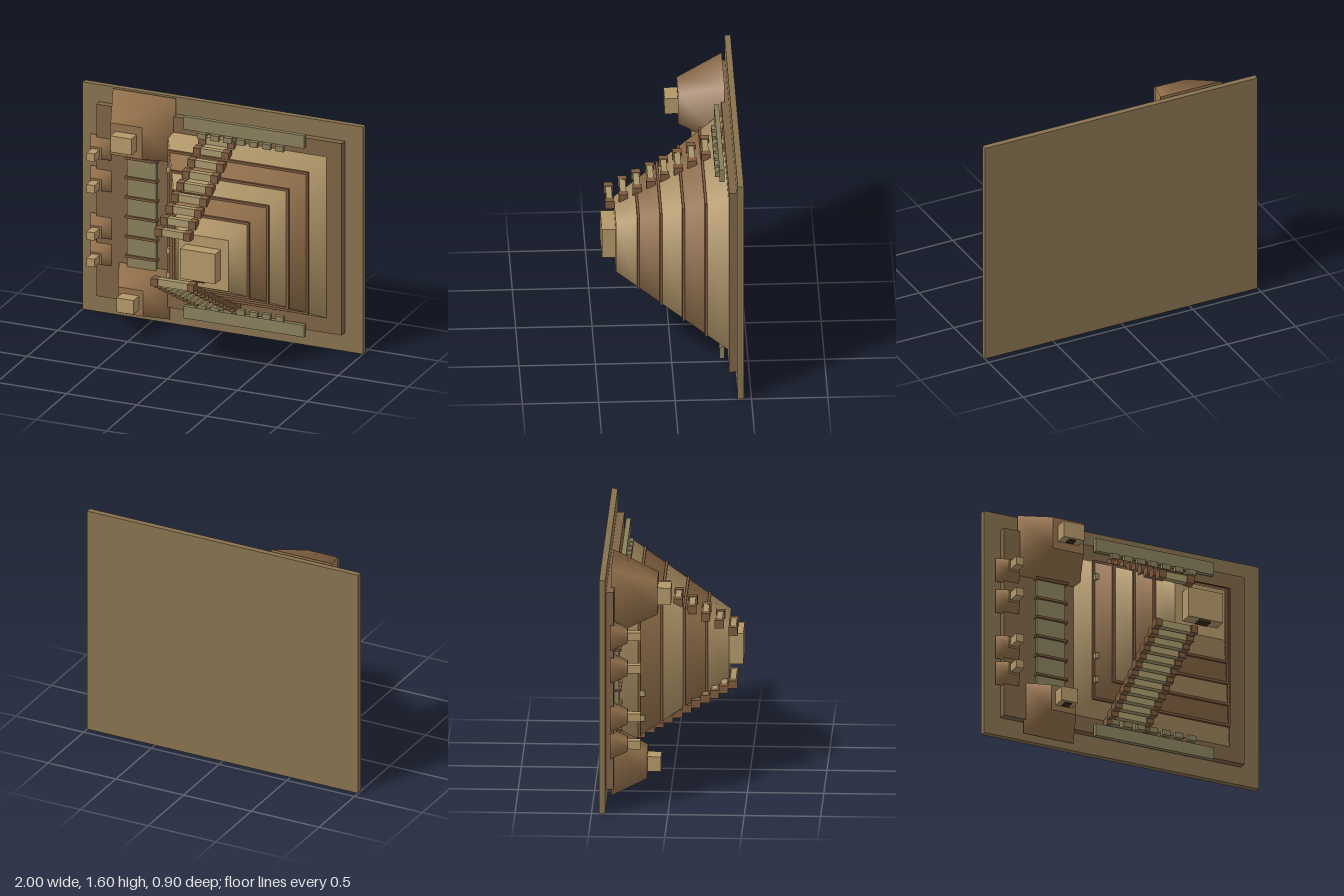
import * as THREE from 'three';

const mat = (color) => new THREE.MeshStandardMaterial({ color, roughness: 0.9 });

export function createModel() {
  const root = new THREE.Group();
  const M = {
    ground: mat(0x87724f), terrace: mat(0x7d6446), tan: mat(0xb3986a), brown: mat(0x94714c),
    trim: mat(0x7d5a3e), step: mat(0xa8976c), wall: mat(0x8a7f5c), dark: mat(0x3d2c1d),
  };

  const group = (name, parent = root) => {
    const g = new THREE.Group();
    g.name = name;
    parent.add(g);
    return g;
  };

  // box from its extents along each axis
  const box = (name, x0, x1, y0, y1, z0, z1, material, parent = root) => {
    const mesh = new THREE.Mesh(new THREE.BoxGeometry(x1 - x0, y1 - y0, z1 - z0), material);
    mesh.name = name;
    mesh.position.set((x0 + x1) / 2, (y0 + y1) / 2, (z0 + z1) / 2);
    parent.add(mesh);
    return mesh;
  };

  // square frustum rising along +z, h0 and h1 are half widths
  const frustum = (name, x, y, z0, z1, h0, h1, material, parent) => {
    const geo = new THREE.CylinderGeometry(h1 * Math.SQRT2, h0 * Math.SQRT2, z1 - z0, 4);
    geo.rotateY(Math.PI / 4);
    geo.rotateX(Math.PI / 2);
    const mesh = new THREE.Mesh(geo, material);
    mesh.name = name;
    mesh.position.set(x, y, (z0 + z1) / 2);
    parent.add(mesh);
  };

  // ground slab and raised terrace
  box('groundSlab', -1, 1, 0, 1.6, -0.45, -0.41, M.ground);
  box('terrace', -0.88, 0.87, 0.13, 1.48, -0.41, -0.36, M.terrace);

  // great pyramid: five alternating tiers with thin trims between them
  const great = group('greatPyramid');
  const px = 0.195, py = 0.803;
  const half = (t) => THREE.MathUtils.lerp(0.567, 0.18, t);
  for (let i = 0; i < 5; i++) {
    const z = -0.36 + i * 0.144;
    frustum('tier', px, py, z, z + 0.144, half(i / 5), half((i + 1) / 5), i % 2 ? M.brown : M.tan, great);
    if (i > 0) {
      const h = half(i / 5) + 0.011;
      box('tierTrim', px - h, px + h, py - h, py + h, z - 0.008, z + 0.008, M.trim, great);
    }
  }
  box('summitTemple', 0.07, 0.32, 0.7, 0.91, 0.36, 0.45, M.tan, great);
  box('templeDoor', 0.155, 0.235, 0.685, 0.702, 0.38, 0.435, M.dark, great);

  // stairways: treads flanked by stepped side blocks
  const stair = (name, count, y0, y1, treadHalf, outerHalf, blockH) => {
    const g = group(name);
    for (let i = 0; i < count; i++) {
      const t = i / (count - 1);
      const z = THREE.MathUtils.lerp(0.39, -0.33, t);
      const y = THREE.MathUtils.lerp(y0, y1, t);
      box('tread', -treadHalf, treadHalf, y - 0.025, y + 0.025, z - 0.02, z + 0.02, M.step, g);
      for (const s of [-1, 1]) {
        const c = s * (treadHalf + outerHalf) / 2, w = (outerHalf - treadHalf) / 2;
        box('sideBlock', c - w, c + w, y - blockH / 2, y + blockH / 2, z - 0.03, z + 0.03, M.trim, g);
      }
    }
  };
  stair('upperStair', 9, 0.983, 1.37, 0.077, 0.127, 0.055);
  stair('lowerStair', 13, 0.628, 0.215, 0.105, 0.153, 0.052);

  // low walls with a row of small blocks beside each
  const walls = group('walls');
  for (const [wy0, wy1, by0, by1] of [[1.425, 1.515, 1.385, 1.422], [0.095, 0.18, 0.188, 0.225]]) {
    box('longWall', -0.235, 0.625, wy0, wy1, -0.34, -0.308, M.wall, walls);
    for (let i = 0; i < 7; i++) {
      const x = -0.1 + i * 0.0925;
      box('wallBlock', x - 0.03, x + 0.03, by0, by1, -0.315, -0.285, M.wall, walls);
    }
  }

  // small studs on the left flank of the great pyramid
  for (const y of [0.435, 0.605, 1.175]) {
    box('flankStud', -0.3, -0.27, y - 0.02, y + 0.02, -0.21, -0.18, M.step);
  }

  // avenue with cross bars
  const avenue = group('avenue');
  box('paving', -0.65, -0.445, 0.3, 1.25, -0.365, -0.335, M.wall, avenue);
  for (let i = 0; i < 6; i++) {
    const y = 0.46 + i * 0.138;
    box('crossBar', -0.66, -0.432, y - 0.008, y + 0.008, -0.36, -0.32, M.trim, avenue);
  }

  // lesser pyramids: frustum with a shrine on top
  const lesser = (name, x, y, z1, h0, h1, bw, bh, z2, material, door) => {
    const g = group(name);
    frustum('pyramidBody', x, y, -0.382, z1, h0, h1, material, g);
    box('shrine', x - bw, x + bw, y - bh, y + bh, z1, z2, M.tan, g);
    if (door) {
      box('shrineDoor', x - 0.025, x + 0.025, y - bh - 0.006, y - bh + 0.01, z1 + 0.015, z2 - 0.02, M.dark, g);
    }
  };
  lesser('upperPyramid', -0.546, 1.375, -0.082, 0.225, 0.112, 0.075, 0.057, 0.005, M.brown, true);
  lesser('lowerPyramid', -0.545, 0.22, -0.15, 0.182, 0.09, 0.06, 0.05, -0.06, M.brown, true);
  for (const y of [1.175, 0.952, 0.62, 0.433]) {
    lesser('smallPyramid', -0.846, y, -0.27, 0.083, 0.041, 0.028, 0.028, -0.185, M.brown, false);
  }

  return root;
}
